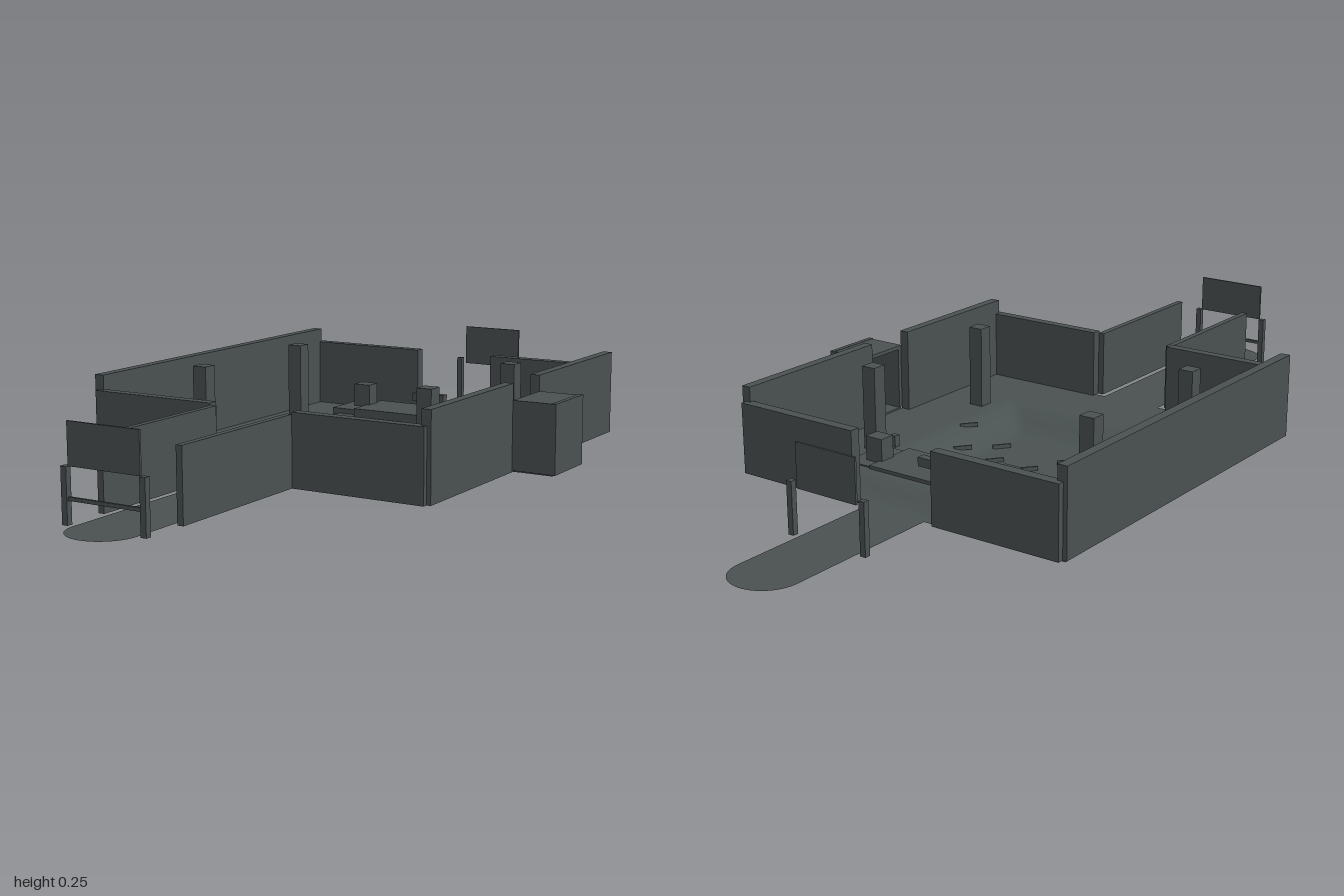
import * as THREE from 'three';

const CX = -0.055; // axis of symmetry of the hall

const stone = new THREE.MeshStandardMaterial({ color: 0x4a5151, side: THREE.DoubleSide });
stone.name = 'dark slate';

// Box given by its extents on each axis
function box(parent, name, [x0, x1], [y0, y1], [z0, z1]) {
  const m = new THREE.Mesh(new THREE.BoxGeometry(x1 - x0, y1 - y0, z1 - z0), stone);
  m.position.set((x0 + x1) / 2, (y0 + y1) / 2, (z0 + z1) / 2);
  m.name = name;
  parent.add(m);
  return m;
}

const around = (c, size) => [c - size / 2, c + size / 2];
const smooth = (t) => THREE.MathUtils.smoothstep(t, 0, 1);

// 1 inside a rectangle, easing to 0 over the given margins (square corners)
function plateau(x, z, x0, x1, z0, z1, mx, mBack, mFront) {
  const d = Math.max((x0 - x) / mx, (x - x1) / mx, (z0 - z) / mBack, (z - z1) / mFront, 0);
  return 1 - smooth(d);
}

function floorHeight(x, z) {
  const basin = plateau(x, z, -0.19, 0.08, -0.22, 0.12, 0.13, 0.09, 0.13);
  const mound = plateau(x, z, -0.25, 0.14, -0.42, -0.31, 0.09, 0.1, 0.09);
  return 0.042 - 0.042 * basin + 0.033 * mound;
}

// Floor with a sunken basin and a raised mound for the stage
function makeFloor() {
  const w = 0.884, d = 0.94;
  const g = new THREE.PlaneGeometry(w, d, 80, 80).rotateX(-Math.PI / 2);
  g.translate(CX, 0, -0.06);
  const p = g.attributes.position;
  for (let i = 0; i < p.count; i++) p.setY(i, floorHeight(p.getX(i), p.getZ(i)));
  g.computeVertexNormals();
  const m = new THREE.Mesh(g, stone);
  m.name = 'floor';
  return m;
}

// Flat path with a round outer end; dir = 1 for front, -1 for back
function makePath(start, dir) {
  const r = 0.08, len = 1 - start - r;
  const s = new THREE.Shape();
  s.moveTo(-r, 0);
  s.lineTo(r, 0);
  s.lineTo(r, len);
  s.absarc(0, len, r, 0, Math.PI, false);
  s.lineTo(-r, 0);
  const g = new THREE.ShapeGeometry(s, 16).rotateX(-Math.PI / 2);
  if (dir > 0) g.rotateY(Math.PI);
  const m = new THREE.Mesh(g, stone);
  m.position.set(CX, 0.042, dir * start);
  m.name = dir > 0 ? 'frontPath' : 'backPath';
  return m;
}

// Panel held by two posts
function makeSign(name, z, width, y0, y1) {
  const g = new THREE.Group();
  g.name = name;
  for (const s of [-1, 1]) {
    box(g, 'signPost', around(CX + s * 0.098, 0.014), [0.042, 0.162], around(z, 0.014));
  }
  box(g, 'signPanel', around(CX, width), [y0, y1], around(z, 0.005));
  return g;
}

export function createModel() {
  const root = new THREE.Group();
  root.name = 'walledHall';
  root.add(makeFloor(), makePath(0.41, 1), makePath(0.52, -1));

  // Outer walls
  const low = [0.042, 0.21], high = [0.042, 0.245];
  const walls = new THREE.Group();
  walls.name = 'walls';
  root.add(walls);
  box(walls, 'rightWall', [-0.497, -0.473], high, [-0.525, 0.41]);
  box(walls, 'leftWallBack', [0.365, 0.388], high, [-0.525, -0.105]);
  box(walls, 'leftWallFront', [0.365, 0.388], high, [0.03, 0.41]);
  for (const [name, z] of [['backWall', [-0.54, -0.515]], ['frontWall', [0.398, 0.422]]]) {
    box(walls, name, [-0.487, -0.163], low, z);
    box(walls, name, [0.053, 0.378], low, z);
  }
  for (const s of [-1, 1]) {
    box(walls, 'passageWall', around(CX + s * 0.1, 0.015), [0.042, 0.205], [0.42, 0.81]);
  }

  // Side alcove
  const alcove = new THREE.Group();
  alcove.name = 'alcove';
  root.add(alcove);
  box(alcove, 'alcoveSide', [0.388, 0.487], [0.046, 0.207], [-0.108, -0.096]);
  box(alcove, 'alcoveSide', [0.388, 0.487], [0.046, 0.207], [0.02, 0.032]);
  box(alcove, 'alcoveEnd', [0.483, 0.495], [0.046, 0.208], [-0.112, 0.034]);
  box(alcove, 'alcoveRoof', [0.388, 0.485], [0.198, 0.207], [-0.1, 0.025]);
  box(alcove, 'alcoveFloor', [0.387, 0.485], [0.042, 0.046], [-0.1, 0.025]);

  // Pillars
  for (const x of [-0.36, 0.25]) {
    for (const z of [-0.235, 0.175]) {
      box(root, 'pillar', around(x, 0.037), [0.035, 0.245], around(z, 0.037));
    }
  }

  // Stage with side boxes and a raised desk
  const stage = new THREE.Group();
  stage.name = 'stage';
  root.add(stage);
  box(stage, 'stageSlab', [-0.22, 0.11], [0.062, 0.083], [-0.42, -0.28]);
  for (const s of [-1, 1]) {
    box(stage, 'stageWing', around(CX + s * 0.2, 0.07), [0.062, 0.078], [-0.415, -0.29]);
    box(stage, 'stageBox', around(CX + s * 0.18, 0.046), [0.07, 0.135], around(-0.365, 0.04));
  }
  box(stage, 'deskStem', around(CX, 0.014), [0.08, 0.1], around(-0.385, 0.012));
  box(stage, 'deskTop', around(CX, 0.09), [0.1, 0.121], around(-0.385, 0.02));

  // Slanted floor markers in two rows
  const rows = [[-0.06, [-0.205, -0.07, 0.03, 0.125]], [0.03, [-0.255, -0.115, 0.075, 0.175]]];
  for (const [z, xs] of rows) {
    for (const x of xs) {
      const y = floorHeight(x, z);
      const m = box(root, 'floorMarker', around(x, 0.045), [y, y + 0.01], around(z, 0.005));
      m.rotation.y = 0.9;
    }
  }

  // Small corner stubs
  for (const [x, z] of [[0.22, -0.2], [-0.33, 0.23]]) {
    box(root, 'stub', around(x, 0.016), [0.03, 0.07], around(z, 0.016));
  }

  // Signs at both ends, with a low gate bar in front
  root.add(makeSign('frontSign', 0.917, 0.18, 0.162, 0.253));
  root.add(makeSign('backSign', -0.74, 0.16, 0.148, 0.25));
  box(root, 'gateBar', around(CX, 0.19), [0.092, 0.1], around(0.917, 0.006));

  return root;
}
